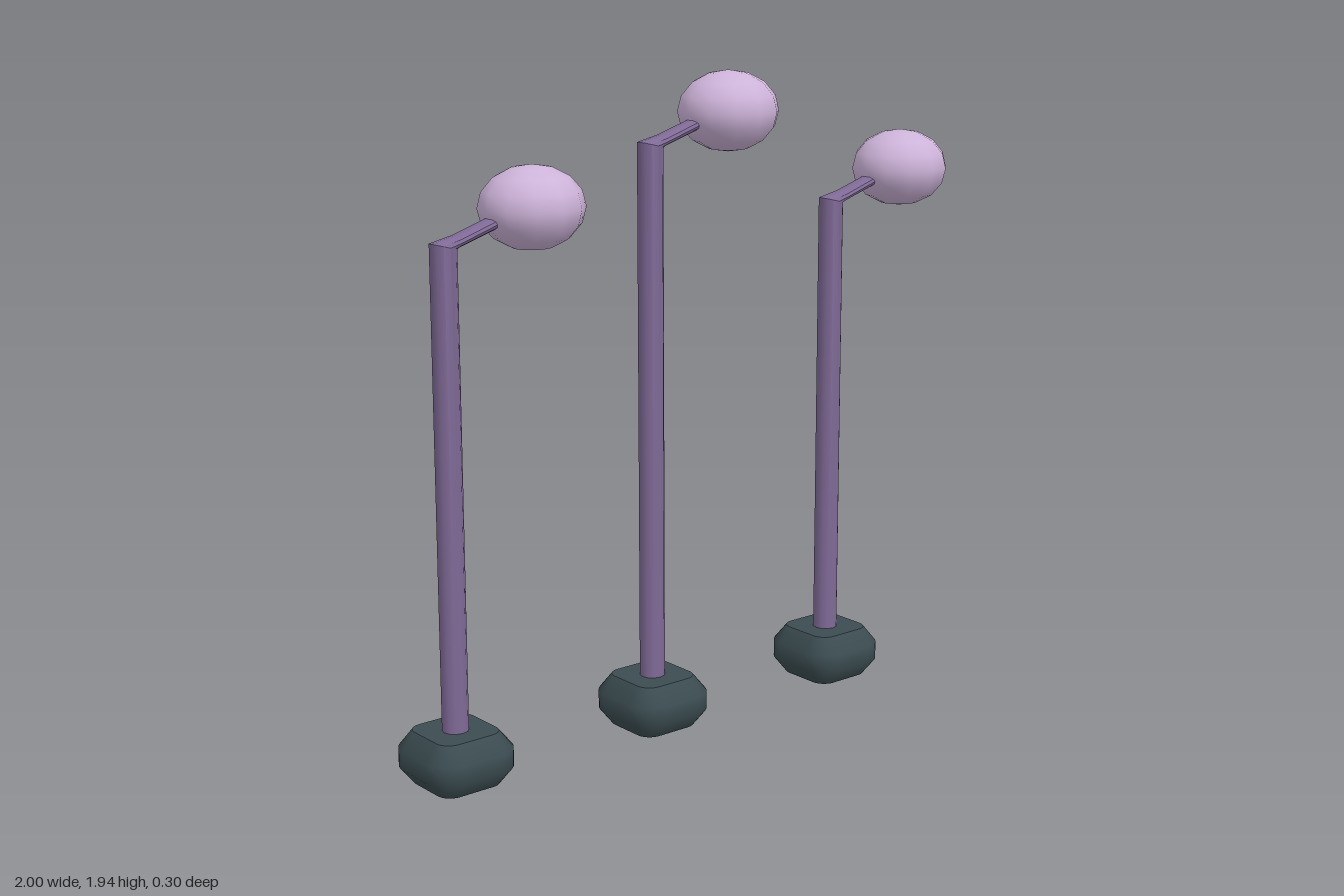
import * as THREE from 'three';
import { toCreasedNormals } from 'three/addons/utils/BufferGeometryUtils.js';

const material = (name, color) => {
  const m = new THREE.MeshStandardMaterial({ color });
  m.name = name;
  return m;
};

// Rounded square block with chamfered top and bottom edges
function baseGeometry() {
  const h = 0.1, r = 0.045;
  const s = new THREE.Shape();
  s.moveTo(h, r - h);
  s.absarc(h - r, h - r, r, 0, Math.PI / 2);
  s.absarc(r - h, h - r, r, Math.PI / 2, Math.PI);
  s.absarc(r - h, r - h, r, Math.PI, Math.PI * 1.5);
  s.absarc(h - r, r - h, r, Math.PI * 1.5, Math.PI * 2);
  const g = new THREE.ExtrudeGeometry(s, {
    depth: 0.055, bevelThickness: 0.05, bevelSize: 0.04, bevelSegments: 1, curveSegments: 4,
  });
  g.rotateX(-Math.PI / 2).translate(0, 0.05, 0);
  return toCreasedNormals(g, 0.8);
}

// Post that folds over at the top into a flattened, rising arm
function postGeometry(top) {
  const sides = 12;
  // Each ring: centre x, centre y, half size along x, drop along y, half size along z
  const rings = [
    [0, 0.1, 0.038, 0, 0.038],
    [0, top - 0.01, 0.038, 0.01, 0.038],
    [0.04, top + 0.0, 0, 0.017, 0.035],
    [0.22, top + 0.057, 0, 0.018, 0.03],
  ];
  const pos = [], index = [];
  rings.forEach(([x, y, rx, ry, rz], i) => {
    for (let j = 0; j < sides; j++) {
      const a = (j / sides) * Math.PI * 2, c = Math.cos(a);
      pos.push(x + rx * c, y - ry * c, rz * Math.sin(a));
      if (i === rings.length - 1) continue;
      const k = i * sides, n = (j + 1) % sides;
      index.push(k + j, k + sides + j, k + n, k + n, k + sides + j, k + sides + n);
    }
  });
  const g = new THREE.BufferGeometry();
  g.setAttribute('position', new THREE.Float32BufferAttribute(pos, 3));
  g.setIndex(index);
  return toCreasedNormals(g, 0.6);
}

export function createModel() {
  const model = new THREE.Group();
  model.name = 'streetLamps';
  const stone = material('dark slate', 0x3b4c51);
  const metal = material('muted purple', 0x806a97);
  const glow = material('pale lilac', 0xcdb3d9);

  const base = baseGeometry();
  const globe = new THREE.SphereGeometry(1, 12, 8).scale(0.153, 0.119, 0.148);

  // Three lamps in a row, the middle one taller
  [[-0.862, 1.535, 'rightLamp'], [-0.154, 1.755, 'middleLamp'], [0.554, 1.535, 'leftLamp']]
    .forEach(([x, top, name]) => {
      const lamp = new THREE.Group();
      lamp.name = name;
      lamp.position.x = x;
      const add = (part, geometry, mat) => {
        const mesh = new THREE.Mesh(geometry, mat);
        mesh.name = part;
        lamp.add(mesh);
        return mesh;
      };
      add('base', base, stone);
      add('postAndArm', postGeometry(top), metal);
      add('globe', globe, glow).position.set(0.292, top + 0.069, 0);
      model.add(lamp);
    });
  return model;
}
